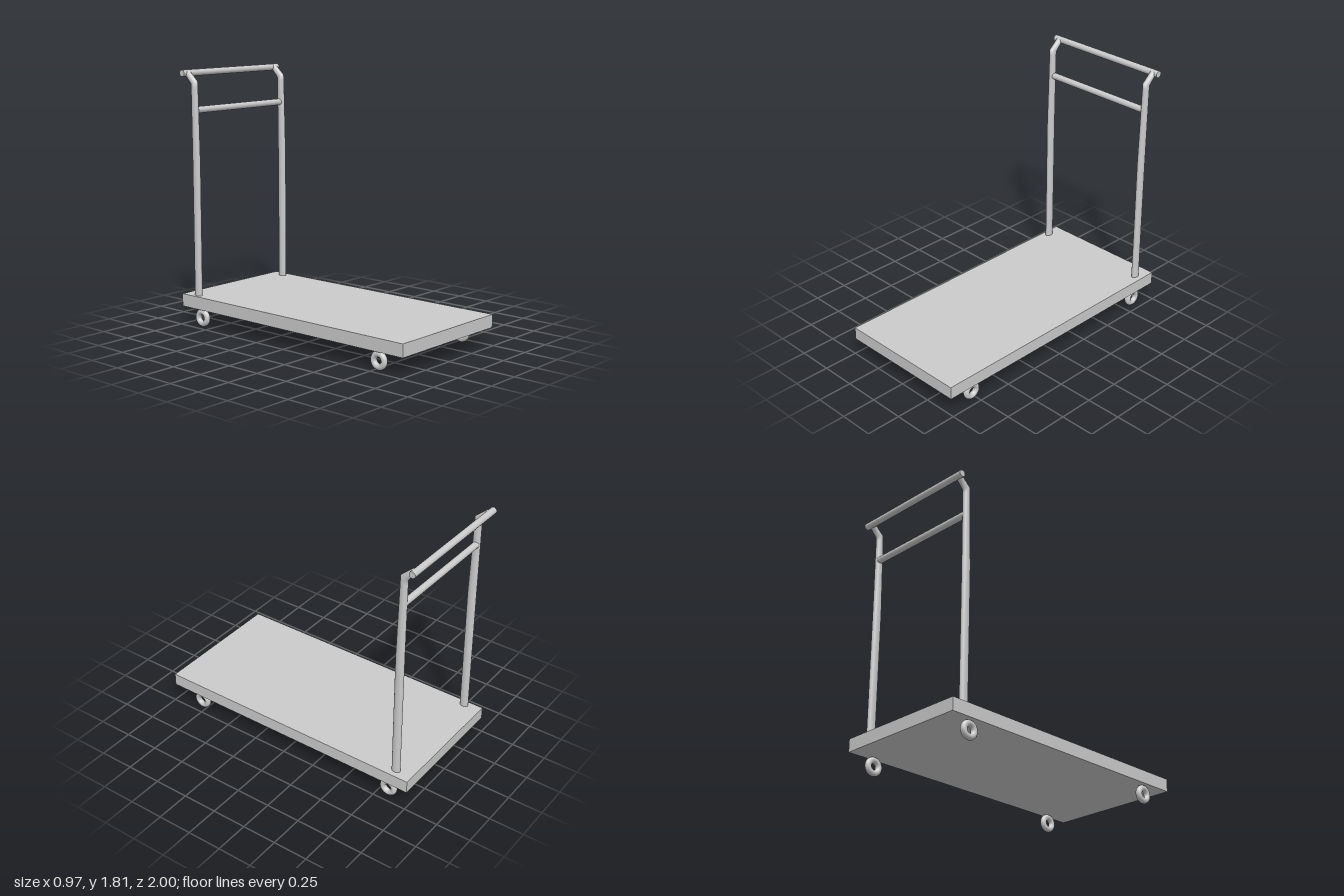
import * as THREE from 'three';

const material = new THREE.MeshStandardMaterial({ color: 0xcccccc });

function add(group, name, geometry, x = 0, y = 0, z = 0) {
  const mesh = new THREE.Mesh(geometry, material);
  mesh.name = name;
  mesh.position.set(x, y, z);
  group.add(mesh);
  return mesh;
}

// Oval tube through rings given by their front and back points in the z/y plane
function postGeometry(rings, halfWidth, sides = 16) {
  const positions = [], index = [];
  for (const { front, back } of rings) {
    for (let i = 0; i < sides; i++) {
      const a = (i / sides) * Math.PI * 2;
      const t = (1 - Math.cos(a)) / 2; // 0 at the front, 1 at the back
      positions.push(
        halfWidth * Math.sin(a),
        THREE.MathUtils.lerp(front[1], back[1], t),
        THREE.MathUtils.lerp(front[0], back[0], t)
      );
    }
  }
  for (let r = 0; r < rings.length - 1; r++) {
    for (let i = 0; i < sides; i++) {
      const a = r * sides + i, b = r * sides + (i + 1) % sides;
      index.push(a, b, b + sides, a, b + sides, a + sides);
    }
  }
  // End caps
  const last = (rings.length - 1) * sides;
  for (let i = 1; i < sides - 1; i++) {
    index.push(0, i + 1, i, last, last + i, last + i + 1);
  }
  const geometry = new THREE.BufferGeometry();
  geometry.setAttribute('position', new THREE.Float32BufferAttribute(positions, 3));
  geometry.setIndex(index);
  geometry.computeVertexNormals();
  return geometry;
}

// Round bar running along x
function addBar(group, name, x0, x1, y, z, radius) {
  const geometry = new THREE.CylinderGeometry(radius, radius, x1 - x0, 16);
  geometry.rotateZ(Math.PI / 2);
  return add(group, name, geometry, (x0 + x1) / 2, y, z);
}

export function createModel() {
  const cart = new THREE.Group();
  cart.name = 'platformCart';

  // Flat load deck
  add(cart, 'platform', new THREE.BoxGeometry(0.966, 0.09, 2), 0, 0.175, 0);

  // Ring wheels under the corners
  const wheel = new THREE.TorusGeometry(0.043, 0.0215, 16, 32);
  wheel.rotateY(Math.PI / 2);
  for (const x of [-0.445, 0.437]) {
    for (const z of [0.78, -0.832]) {
      add(cart, z > 0 ? 'frontWheel' : 'rearWheel', wheel, x, 0.0645, z);
    }
  }

  // Uprights, bent backwards at the top
  const post = postGeometry([
    { front: [-0.845, 0.2], back: [-0.907, 0.2] },
    { front: [-0.843, 1.15], back: [-0.907, 1.15] },
    { front: [-0.857, 1.7], back: [-0.909, 1.68] },
    { front: [-0.859, 1.738], back: [-0.911, 1.715] },
    { front: [-0.94, 1.808], back: [-0.945, 1.755] },
    { front: [-0.955, 1.803], back: [-0.958, 1.77] },
  ], 0.022);
  add(cart, 'rightPost', post, -0.44);
  add(cart, 'leftPost', post, 0.424);

  // Push handle and cross bar
  addBar(cart, 'handle', -0.485, 0.466, 1.789, -0.961, 0.0235);
  addBar(cart, 'crossBar', -0.435, 0.42, 1.536, -0.884, 0.0235);

  return cart;
}
